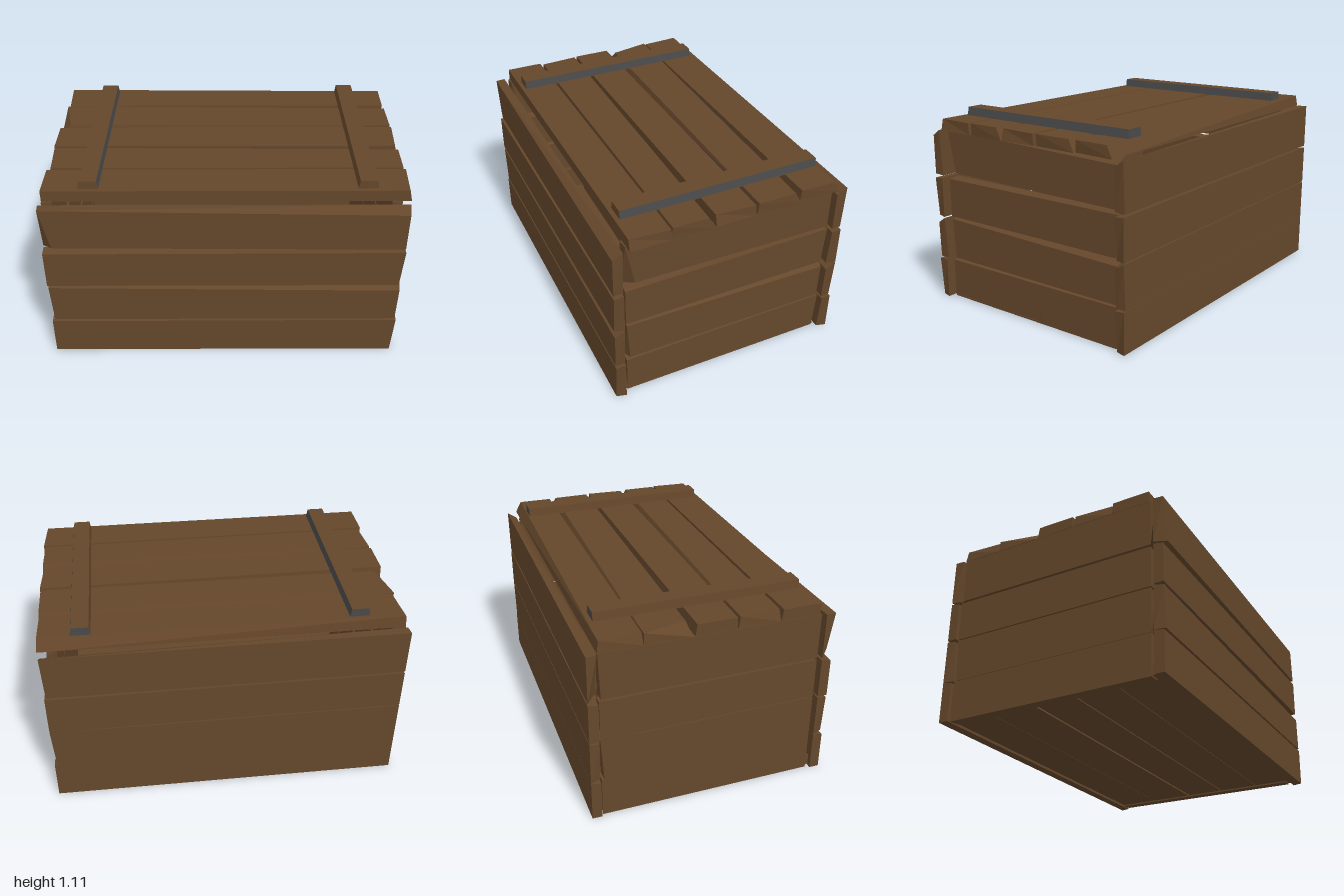
import * as THREE from 'three';

const wood = new THREE.MeshStandardMaterial({ color: 0x65472b, flatShading: true });
const iron = new THREE.MeshStandardMaterial({ color: 0x4a4a4a, flatShading: true });

// Hewn corners as [length, width] shifts for the outer and inner face,
// in the order bottom left, bottom right, top right, top left.
const cuts = {
  plain: {
    outer: [[0, 0], [-0.015, 0], [0, -0.005], [0, -0.01]],
    inner: [[0, 0], [0, 0], [0, 0], [0, 0]],
  },
  chipped: {
    outer: [[0.055, 0.02], [-0.005, 0.005], [-0.005, -0.035], [0.005, 0]],
    inner: [[0, 0], [-0.01, 0], [0, 0], [0, 0]],
  },
  worn: {
    outer: [[0.02, 0.005], [-0.01, 0.005], [-0.005, -0.035], [0.005, -0.01]],
    inner: [[0, 0], [-0.015, 0], [0, 0], [0, 0]],
  },
};

// Plank along x, width along y, outer face towards +z; the box corners are moved by the cut.
function plank(name, cut, x0, x1, y0, y1, thickness) {
  const geo = new THREE.BoxGeometry(x1 - x0, y1 - y0, thickness);
  geo.translate((x0 + x1) / 2, (y0 + y1) / 2, thickness / 2);
  const p = geo.attributes.position;
  const midX = (x0 + x1) / 2, midY = (y0 + y1) / 2;
  for (let i = 0; i < p.count; i++) {
    const right = p.getX(i) > midX, top = p.getY(i) > midY;
    const corner = top ? (right ? 2 : 3) : (right ? 1 : 0);
    const face = p.getZ(i) > thickness / 2 ? cuts[cut].outer : cuts[cut].inner;
    p.setX(i, p.getX(i) + face[corner][0]);
    p.setY(i, p.getY(i) + face[corner][1]);
  }
  geo.computeVertexNormals();
  const mesh = new THREE.Mesh(geo, wood);
  mesh.name = name;
  return mesh;
}

// A set of parallel planks; rows are [cut, start, end] across the width.
function panel(name, rows, x0, x1, thickness) {
  const group = new THREE.Group();
  group.name = name;
  rows.forEach(([cut, a, b]) => group.add(plank(name + 'Plank', cut, x0, x1, a, b, thickness)));
  return group;
}

const wallRows = [
  ['plain', 0, 0.233], ['worn', 0.235, 0.483],
  ['plain', 0.49, 0.722], ['chipped', 0.735, 1.0],
];
const lidRows = [
  ['plain', -0.59, -0.365], ['worn', -0.362, -0.125], ['plain', -0.118, 0.11],
  ['chipped', 0.122, 0.378], ['worn', 0.38, 0.618],
];
const floorRows = lidRows.map(([cut, a, b]) => [cut, a * 1.02 - 0.02, b * 1.02 - 0.02]);

export function createModel() {
  const crate = new THREE.Group();
  crate.name = 'crate';

  // Long walls
  for (const [name, z] of [['frontWall', 0.622], ['backWall', -0.677]]) {
    const wall = panel(name, wallRows, -1, 0.988, 0.055);
    wall.position.z = z;
    crate.add(wall);
  }

  // Short walls
  for (const [name, x] of [['leftWall', 0.893], ['rightWall', -0.985]]) {
    const wall = panel(name, wallRows, -0.6, 0.615, 0.057);
    wall.rotation.y = Math.PI / 2;
    wall.position.x = x;
    crate.add(wall);
  }

  // Floor and lid lie flat with their outer face up
  const floor = panel('floor', floorRows, -0.975, 0.951, 0.06);
  floor.rotation.x = -Math.PI / 2;
  floor.position.y = 0.008;
  const lid = panel('lid', lidRows, -0.985, 0.998, 0.065);
  lid.rotation.x = -Math.PI / 2;
  lid.position.y = 1.002;
  crate.add(floor, lid);

  // Lid battens, narrower at the top, dark on one side and the back end
  for (const x of [-0.732, 0.765]) {
    const geo = new THREE.BoxGeometry(0.11, 0.05, 1.145);
    const p = geo.attributes.position;
    for (let i = 0; i < p.count; i++) if (p.getY(i) > 0) p.setX(i, p.getX(i) * 0.86);
    geo.computeVertexNormals();
    const batten = new THREE.Mesh(geo, [iron, wood, wood, wood, wood, iron]);
    batten.name = 'lidBatten';
    batten.position.set(x, 1.089, -0.007);
    crate.add(batten);
  }
  return crate;
}
